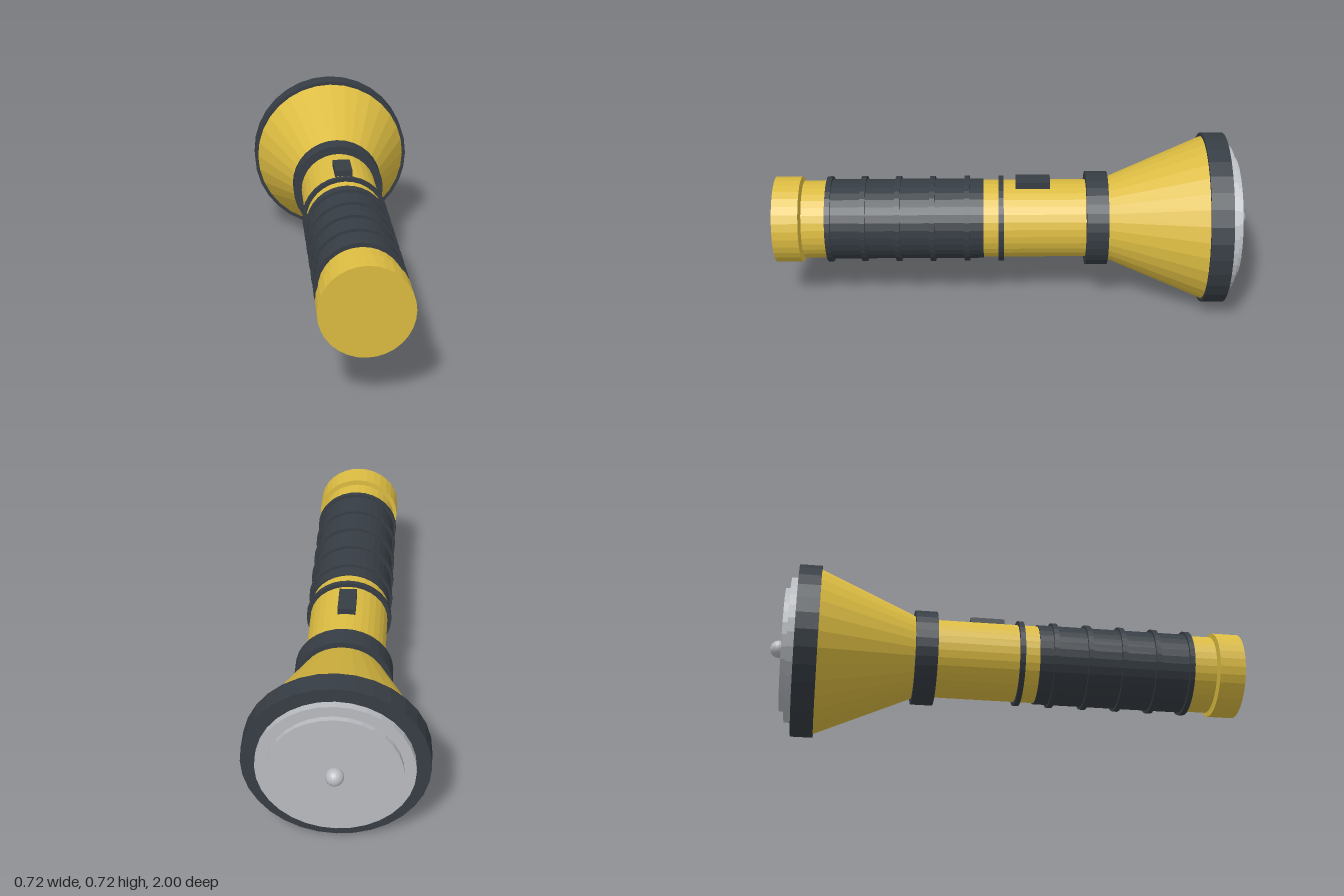
import * as THREE from 'three';

const AXIS_Y = 0.364; // height of the torch's long axis
const SIDES = 32;

export function createModel() {
  const group = new THREE.Group();
  group.name = 'torch';

  const material = (name, color) => {
    const m = new THREE.MeshStandardMaterial({ color, flatShading: true });
    m.name = name;
    return m;
  };
  const yellow = material('yellow', 0xdcbc42);
  const rubber = material('dark rubber', 0x363d44);
  const silver = material('silver', 0xb8bbc0);

  const add = (name, geometry, mat) => {
    const mesh = new THREE.Mesh(geometry, mat);
    mesh.name = name;
    group.add(mesh);
    return mesh;
  };

  // Round section along z, from the back (z0) to the front (z1)
  const section = (name, z0, z1, rBack, rFront, mat) => {
    const g = new THREE.CylinderGeometry(rFront, rBack, z1 - z0, SIDES);
    g.rotateX(Math.PI / 2);
    g.translate(0, AXIS_Y, (z0 + z1) / 2);
    return add(name, g, mat);
  };

  // Handle
  section('tailCap', 0.89, 1.0, 0.182, 0.182, yellow);
  section('body', -0.32, 0.88, 0.165, 0.165, yellow);
  section('grip', 0.12, 0.78, 0.17, 0.17, rubber);
  [0.046, 0.19, 0.335, 0.48, 0.625, 0.77].forEach((z, i) =>
    section('gripRing' + (i + 1), z - 0.011, z + 0.011, 0.182, 0.182, rubber));

  // Head
  section('collar', -0.402, -0.31, 0.2, 0.2, rubber);
  section('reflectorCone', -0.81, -0.402, 0.35, 0.176, yellow);
  section('bezel', -0.895, -0.802, 0.362, 0.362, rubber);
  section('lensRim', -0.925, -0.89, 0.305, 0.305, silver);
  section('lens', -0.947, -0.92, 0.26, 0.26, silver);

  // Bulb
  const bulb = new THREE.SphereGeometry(0.036, 20, 14);
  bulb.translate(0, AXIS_Y, -0.964);
  add('bulb', bulb, silver);

  // Sliding switch on top of the body
  const slider = new THREE.BoxGeometry(0.074, 0.05, 0.145);
  slider.translate(0, 0.528, -0.0875);
  add('switch', slider, rubber);

  return group;
}
